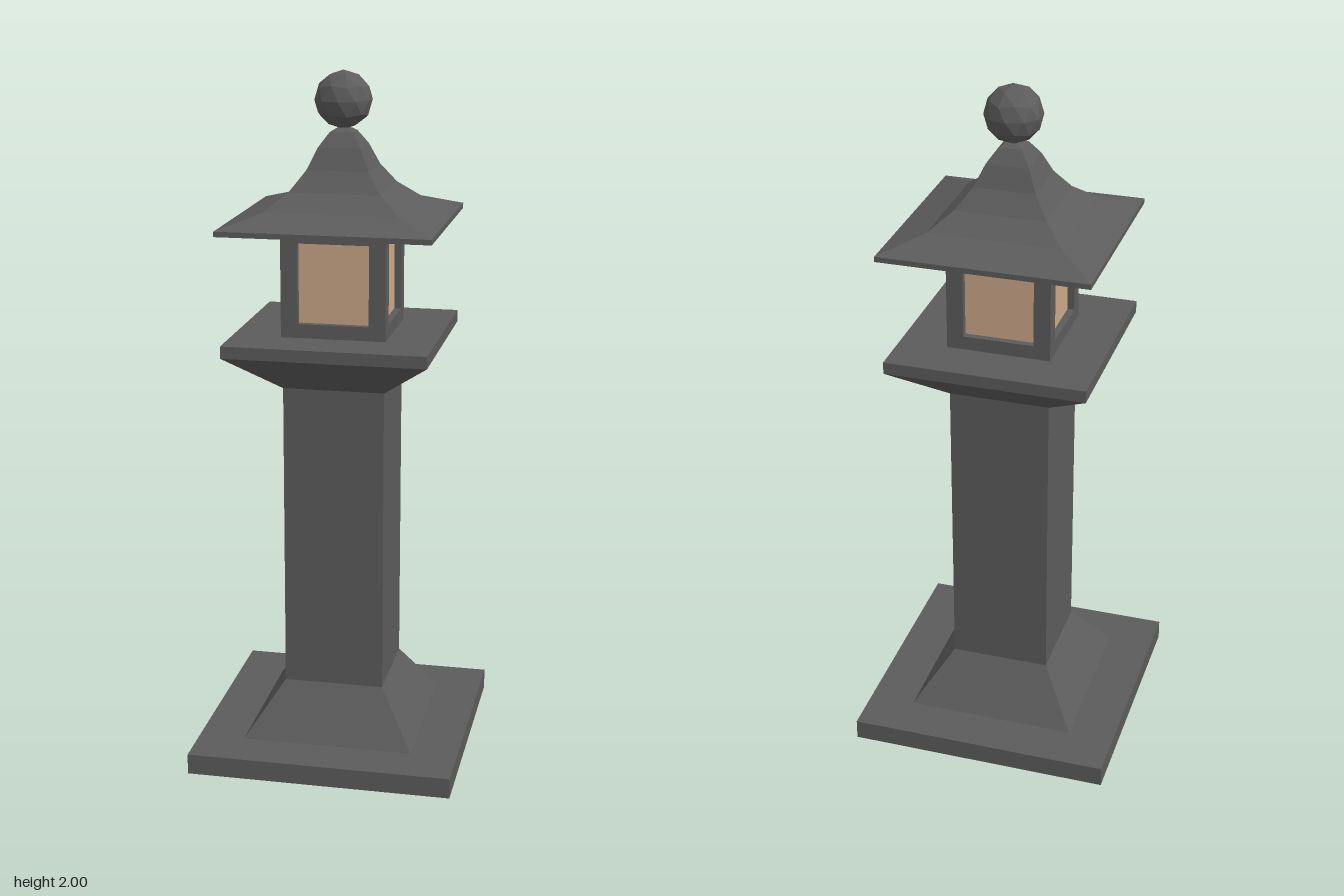
import * as THREE from 'three';

const stone = new THREE.MeshStandardMaterial({ color: 0x5c5c5c, flatShading: true });
const glow = new THREE.MeshStandardMaterial({ color: 0xcca888, flatShading: true });

export function createModel() {
  const model = new THREE.Group();
  model.name = 'stoneLantern';

  function add(name, geometry, material = stone, parent = model) {
    const mesh = new THREE.Mesh(geometry, material);
    mesh.name = name;
    parent.add(mesh);
    return mesh;
  }

  // Square solid from [half width, height] steps, bottom to top
  function squareSolid(name, profile) {
    const points = profile.map(([half, y]) => new THREE.Vector2(half * Math.SQRT2, y));
    const geometry = new THREE.LatheGeometry(points, 4, Math.PI / 4).toNonIndexed();
    geometry.computeVertexNormals();
    return add(name, geometry);
  }

  function box(name, w, h, d, x, y, z, material, parent) {
    add(name, new THREE.BoxGeometry(w, h, d), material, parent).position.set(x, y, z);
  }

  // Base, pillar and platform
  box('baseSlab', 0.77, 0.06, 0.77, 0, 0.03, 0);
  squareSolid('pillar', [[0.25, 0.06], [0.146, 0.215], [0.146, 1.115]]);
  squareSolid('platform', [[0.146, 1.115], [0.29, 1.23], [0.29, 1.265], [0, 1.265]]);

  // Light chamber: sill, lintel, corner posts and a glowing core behind them
  const chamber = new THREE.Group();
  chamber.name = 'lightChamber';
  model.add(chamber);
  box('sill', 0.3, 0.04, 0.3, 0, 1.285, 0, stone, chamber);
  box('lintel', 0.3, 0.04, 0.3, 0, 1.555, 0, stone, chamber);
  for (const x of [-1, 1]) {
    for (const z of [-1, 1]) {
      box('cornerPost', 0.048, 0.23, 0.048, x * 0.126, 1.42, z * 0.126, stone, chamber);
    }
  }
  box('windowPanes', 0.26, 0.23, 0.26, 0, 1.42, 0, glow, chamber);

  // Curved hip roof with a flat underside
  squareSolid('roof', [
    [0, 1.573], [0.3, 1.573], [0.3, 1.588], [0.19, 1.625], [0.13, 1.673],
    [0.088, 1.73], [0.061, 1.79], [0.033, 1.83], [0, 1.85],
  ]);

  // Faceted ball with one corner pointing straight up
  const ball = new THREE.IcosahedronGeometry(0.082, 1);
  ball.rotateX(-Math.atan((1 + Math.sqrt(5)) / 2));
  ball.rotateY(Math.PI / 2);
  add('finial', ball).position.y = 1.918;

  return model;
}
